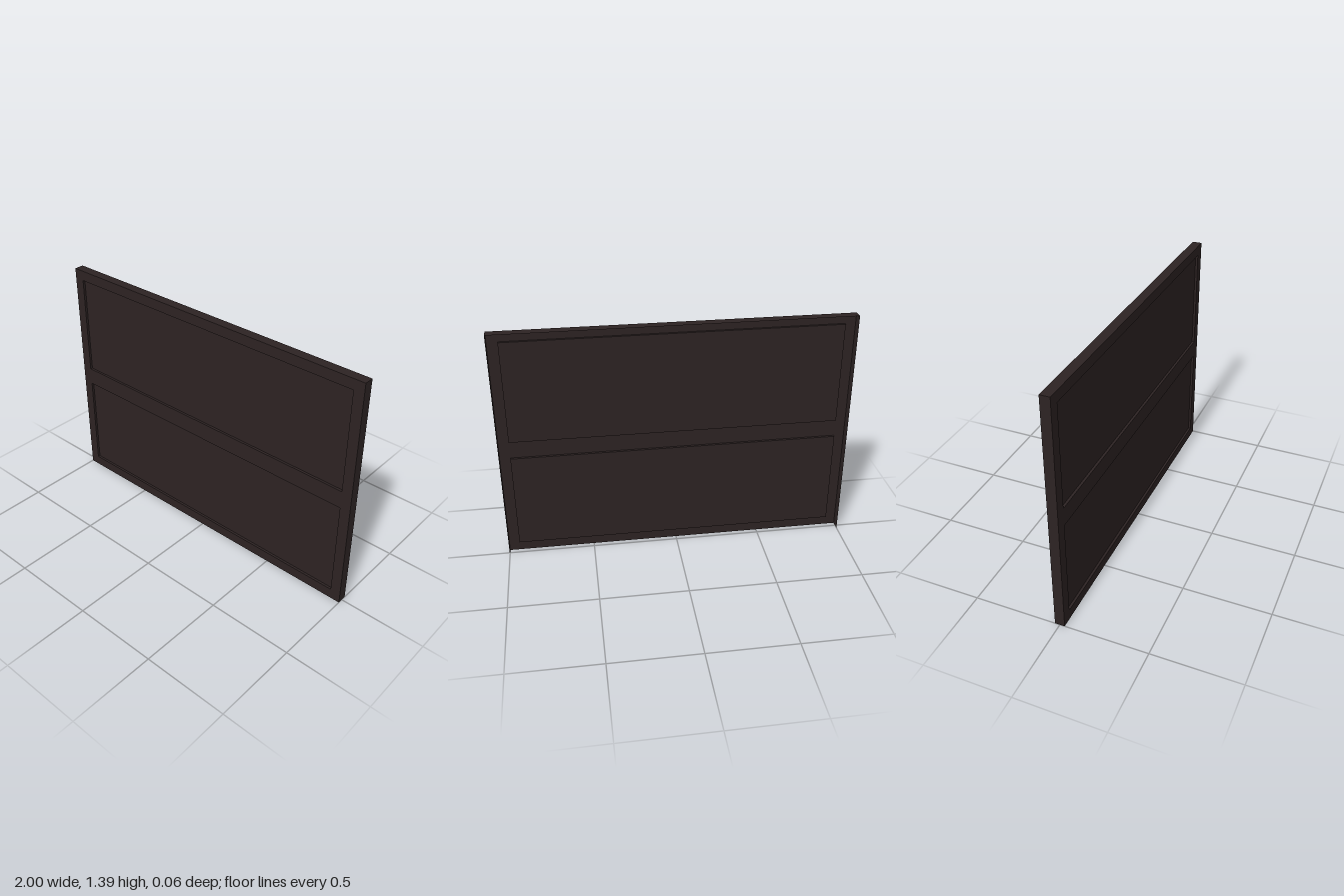
import * as THREE from 'three';

const W = 2, H = 1.39, FRONT = 0.028, BACK = -0.028, RECESS = 0.014;

export function createModel() {
  const door = new THREE.Group();
  door.name = 'panelDoor';
  const brown = new THREE.MeshStandardMaterial({ color: 0x2d2323, side: THREE.DoubleSide });
  brown.name = 'darkBrown';

  const add = (parent, name, geometry, x, y, z) => {
    const mesh = new THREE.Mesh(geometry, brown);
    mesh.name = name;
    mesh.position.set(x, y, z);
    parent.add(mesh);
    return mesh;
  };

  // Upright sheet facing +x (side = 1) or -x (side = -1)
  const sideSheet = (parent, name, side, x, y, height, z, depth) => {
    add(parent, name, new THREE.PlaneGeometry(depth, height), x, y, z).rotation.y = side * Math.PI / 2;
  };
  // Level sheet facing up (side = 1) or down (side = -1)
  const levelSheet = (parent, name, side, width, y, z, depth) => {
    add(parent, name, new THREE.PlaneGeometry(width, depth), 0, y, z).rotation.x = -side * Math.PI / 2;
  };

  // Thin front sheet with two rectangular openings
  const face = new THREE.Shape();
  face.moveTo(-W / 2, 0).lineTo(W / 2, 0).lineTo(W / 2, H).lineTo(-W / 2, H).closePath();

  // Pressed-in panels, open recess at the front and raised block at the back
  const panels = [['lowerPanel', 0.06, 0.63], ['upperPanel', 0.735, 1.33]];
  const half = 0.94;
  for (const [name, y0, y1] of panels) {
    const hole = new THREE.Path();
    hole.moveTo(-half, y0).lineTo(-half, y1).lineTo(half, y1).lineTo(half, y0).closePath();
    face.holes.push(hole);

    const panel = new THREE.Group();
    panel.name = name;
    door.add(panel);
    const height = y1 - y0, mid = (y0 + y1) / 2, z = FRONT - RECESS / 2;
    add(panel, 'panelSheet', new THREE.PlaneGeometry(2 * half, height), 0, mid, FRONT - RECESS);
    for (const s of [-1, 1]) sideSheet(panel, 'recessSide', -s, s * half, mid, height, z, RECESS);
    levelSheet(panel, 'recessBottom', 1, 2 * half, y0, z, RECESS);
    levelSheet(panel, 'recessTop', -1, 2 * half, y1, z, RECESS);
  }
  add(door, 'frontFrame', new THREE.ShapeGeometry(face), 0, 0, FRONT);

  // Flanges folded back along the top and both sides; the bottom is open
  for (const s of [-1, 1]) {
    sideSheet(door, s > 0 ? 'leftFlange' : 'rightFlange', s, s * W / 2, H / 2, H, 0, FRONT - BACK);
  }
  levelSheet(door, 'topFlange', 1, W, H, 0, FRONT - BACK);

  return door;
}
